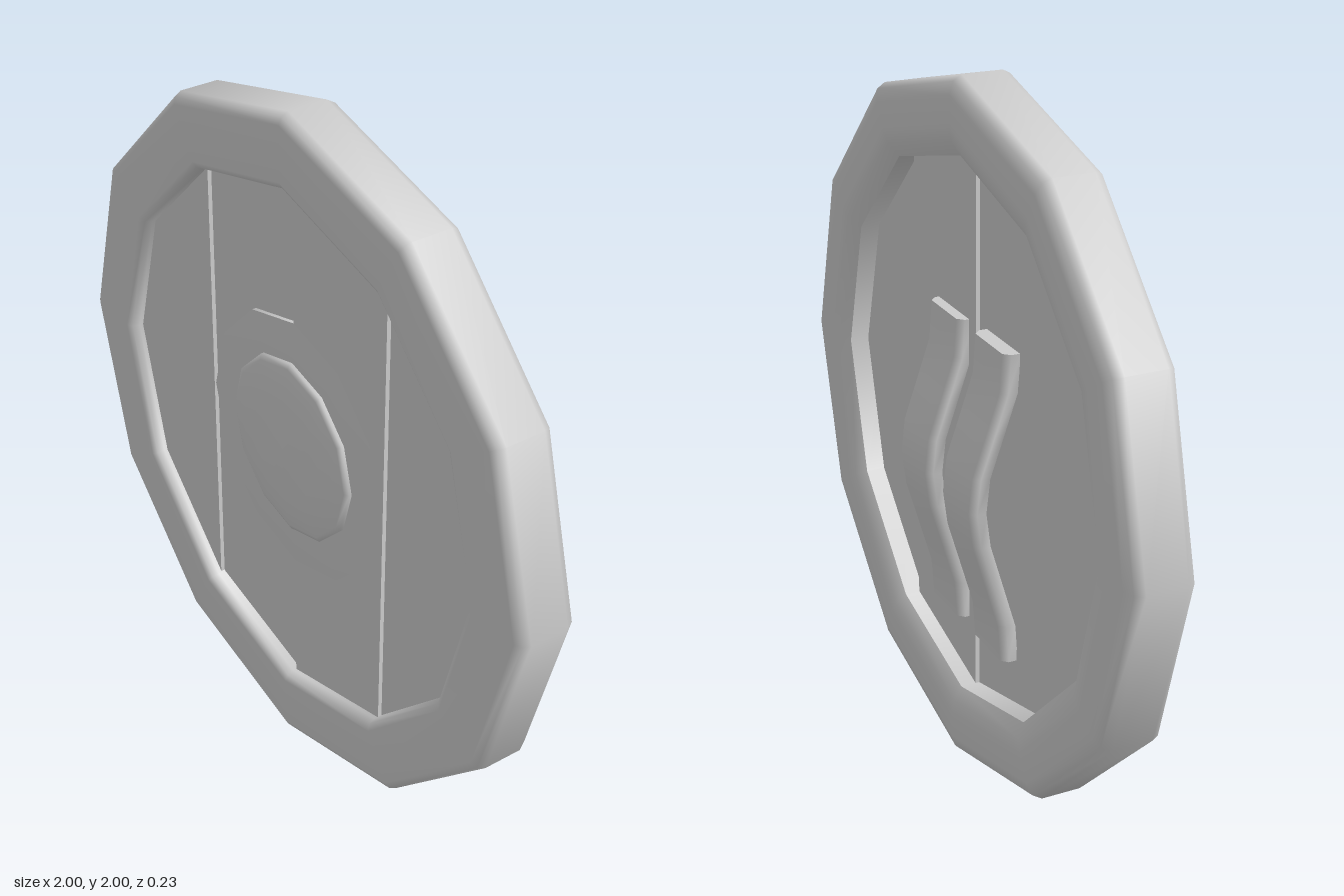
import * as THREE from 'three';

const SIDES = 12;
const V = (x, y) => new THREE.Vector2(x, y);

// Revolved profile of (radius, z) points, turned so its axis faces +z
function turned(points) {
  const geo = new THREE.LatheGeometry(points.map(([r, z]) => V(r, z)), SIDES);
  return geo.rotateX(Math.PI / 2);
}

// Bent strap: a chamfered section swept along (y, outer z) stations
function strapGeometry(width, thickness, stations) {
  const w = width / 2, c = 0.018;
  const section = [[-w, thickness], [w, thickness], [w, c], [w - c, 0], [-w + c, 0], [-w, c]];
  const n = section.length, pos = [], idx = [];
  for (const [y, z] of stations) for (const [sx, sz] of section) pos.push(sx, y, z + sz);
  for (let i = 0; i < stations.length - 1; i++) {
    for (let j = 0; j < n; j++) {
      const a = i * n + j, b = i * n + (j + 1) % n;
      idx.push(a, b, b + n, a, b + n, a + n);
    }
  }
  // End caps on their own vertices so the ends stay crisp
  for (const end of [0, stations.length - 1]) {
    const base = pos.length / 3;
    const [y, z] = stations[end];
    for (const [sx, sz] of section) pos.push(sx, y, z + sz);
    for (let j = 1; j < n - 1; j++) {
      if (end === 0) idx.push(base, base + j + 1, base + j);
      else idx.push(base, base + j, base + j + 1);
    }
  }
  const geo = new THREE.BufferGeometry();
  geo.setAttribute('position', new THREE.Float32BufferAttribute(pos, 3));
  geo.setIndex(idx);
  geo.computeVertexNormals();
  return geo;
}

export function createModel() {
  const model = new THREE.Group();
  model.name = 'roundShield';
  const grey = new THREE.MeshStandardMaterial({ color: 0xcccccc });
  grey.name = 'plain grey';

  const add = (name, geo, x = 0, y = 1, z = 0) => {
    const mesh = new THREE.Mesh(geo, grey);
    mesh.name = name;
    mesh.position.set(x, y, z);
    model.add(mesh);
    return mesh;
  };

  // Heavy twelve-sided rim with softened edges
  add('rim', turned([
    [0.79, -0.035], [0.83, -0.06], [0.87, -0.065], [0.95, -0.065], [0.985, -0.055], [1, -0.03],
    [1, 0.085], [0.99, 0.105], [0.97, 0.115], [0.815, 0.115], [0.797, 0.105], [0.79, 0.085], [0.79, -0.035],
  ]));

  // Four upright planks, alternately thick and thin
  const R = 0.795;
  const corner = (k) => V(R * Math.cos(k * Math.PI / 6), R * Math.sin(k * Math.PI / 6));
  const planks = [[4, 5, 6, 7, 8], [3, 4, 8, 9], [2, 3, 9, 10], [0, 1, 2, 10, 11]];
  planks.forEach((corners, i) => {
    const back = i % 2 ? 0.022 : 0.01, front = i % 2 ? 0.062 : 0.074;
    const shape = new THREE.Shape(corners.map(corner));
    const geo = new THREE.ExtrudeGeometry(shape, { depth: front - back, bevelEnabled: false });
    add('plank' + (i + 1), geo, 0, 1, back);
  });

  // Central boss: thin flange plate and a low dome
  add('bossFlange', turned([[0.39, 0.05], [0.39, 0.074], [0.39, 0.074], [0.26, 0.08], [0, 0.08]]), 0, 1.005);
  add('bossDome', turned([
    [0.27, 0.07], [0.27, 0.088], [0.255, 0.095], [0.21, 0.103], [0.14, 0.111], [0, 0.114],
  ]), 0, 1.005);

  // Pair of bowed arm straps on the back
  const path = [[-0.46, -0.02], [-0.35, -0.028], [-0.23, -0.063], [-0.09, -0.104], [0.01, -0.117],
    [0.11, -0.106], [0.23, -0.065], [0.34, -0.028], [0.45, -0.02]];
  for (const side of [-1, 1]) {
    add(side > 0 ? 'leftStrap' : 'rightStrap', strapGeometry(0.195, 0.045, path), side * 0.14, 0.87);
  }
  return model;
}
